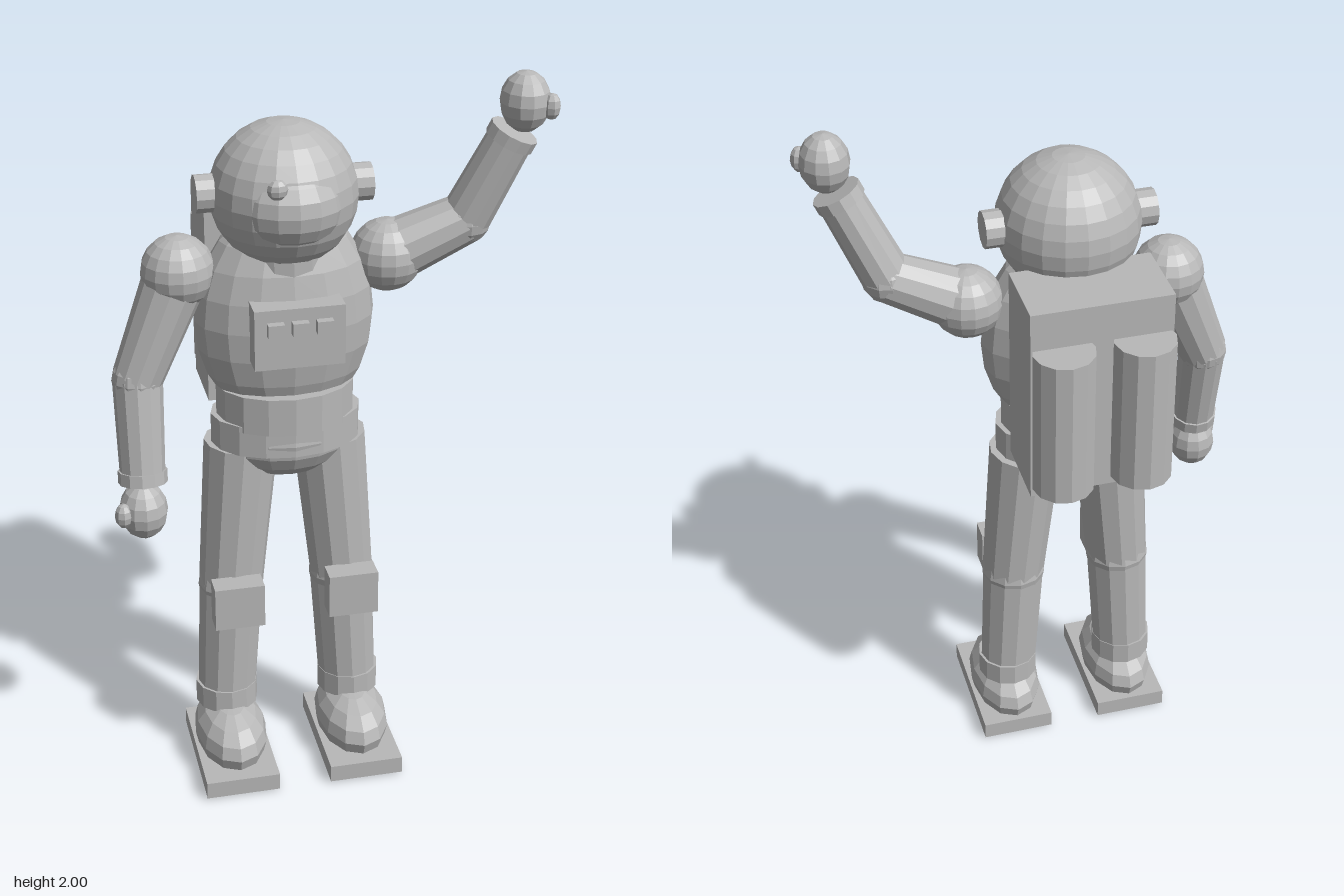
import * as THREE from 'three';

const suit = new THREE.MeshStandardMaterial({ color: 0xb8b8b8, flatShading: true });
suit.name = 'suit grey';

export function createModel() {
  const model = new THREE.Group();
  model.name = 'astronaut';
  const CX = -0.105, CZ = 0.083; // body axis

  const add = (name, geo, x, y, z, parent = model) => {
    const m = new THREE.Mesh(geo, suit);
    m.name = name;
    m.position.set(x, y, z);
    parent.add(m);
    return m;
  };
  const box = (name, x0, x1, y0, y1, z0, z1, parent) =>
    add(name, new THREE.BoxGeometry(x1 - x0, y1 - y0, z1 - z0),
      (x0 + x1) / 2, (y0 + y1) / 2, (z0 + z1) / 2, parent);
  const ball = (name, [x, y, z], [rx, ry, rz], parent, ws = 12, hs = 8) =>
    add(name, new THREE.SphereGeometry(1, ws, hs).scale(rx, ry, rz), x, y, z, parent);
  // tapered cylinder from point a to point b
  const limb = (name, a, b, ra, rb, parent, sides = 12) => {
    const A = new THREE.Vector3(...a), B = new THREE.Vector3(...b);
    const dir = B.clone().sub(A), mid = A.clone().add(B).multiplyScalar(0.5);
    const m = add(name, new THREE.CylinderGeometry(rb, ra, dir.length(), sides), mid.x, mid.y, mid.z, parent);
    m.quaternion.setFromUnitVectors(new THREE.Vector3(0, 1, 0), dir.normalize());
    return m;
  };
  const ring = (name, rx, rz, y0, y1) =>
    add(name, new THREE.CylinderGeometry(1, 1, y1 - y0, 16).scale(rx, 1, rz), CX, (y0 + y1) / 2, CZ);

  // Helmet with visor, lamp and ear pieces
  const head = new THREE.Group();
  head.name = 'head';
  model.add(head);
  ball('helmet', [CX, 1.7, 0.087], [0.193, 0.194, 0.193], head, 20, 14);
  ball('visor', [CX, 1.7, 0.165], [0.145, 0.12, 0.132], head, 16, 10);
  ball('visorLamp', [-0.16, 1.778, 0.28], [0.027, 0.027, 0.02], head, 8, 6);
  for (const s of [-1, 1])
    limb('earPiece', [CX + s * 0.15, 1.71, 0.08], [CX + s * 0.231, 1.71, 0.08], 0.05, 0.05, head);
  limb('neck', [CX, 1.5, CZ], [CX, 1.62, CZ], 0.13, 0.13, head, 16);

  // Torso, waist, belt and hips
  ball('torso', [CX, 1.36, CZ], [0.241, 0.31, 0.15], model, 16, 12);
  ring('waist', 0.188, 0.148, 1.07, 1.175);
  ring('belt', 0.204, 0.138, 1.0, 1.087);
  ball('hips', [CX, 1.03, CZ], [0.185, 0.135, 0.14], model, 16, 10);

  // Chest control panel
  box('chestPanel', -0.222, 0.016, 1.29, 1.455, 0.18, 0.275);
  for (let i = 0; i < 3; i++) {
    const x = -0.19 + i * 0.064;
    box('panelButton', x, x + 0.043, 1.387, 1.422, 0.27, 0.297);
  }

  // Life support backpack with two tanks
  box('backpack', -0.295, 0.085, 1.07, 1.637, -0.236, -0.026);
  for (const s of [-1, 1])
    limb('airTank', [CX + s * 0.107, 1.108, -0.255], [CX + s * 0.107, 1.53, -0.255], 0.083, 0.083, model, 12);

  // Legs, mirrored about the body axis
  for (const s of [-1, 1]) {
    const leg = new THREE.Group();
    leg.name = s < 0 ? 'rightLeg' : 'leftLeg';
    model.add(leg);
    const p = (d, y, z) => [CX + s * d, y, z];
    limb('thigh', p(0.121, 0.995, 0.075), p(0.158, 0.56, 0.083), 0.102, 0.09, leg);
    ball('knee', p(0.158, 0.56, 0.083), [0.093, 0.093, 0.093], leg);
    limb('shin', p(0.158, 0.56, 0.083), p(0.177, 0.2, 0.083), 0.09, 0.083, leg);
    limb('ankleCuff', p(0.178, 0.17, 0.083), p(0.178, 0.237, 0.083), 0.088, 0.088, leg);
    const k = CX + s * 0.16;
    box('kneePad', k - 0.069, k + 0.069, 0.493, 0.62, 0.168, 0.233, leg);
    ball('boot', p(0.178, 0.093, 0.133), [0.102, 0.093, 0.174], leg);
    const f = CX + s * 0.178;
    box('sole', f - 0.104, f + 0.104, 0.005, 0.055, -0.042, 0.333, leg);
  }

  // Arms: one hanging, one raised and waving
  const arms = [
    { name: 'rightArm', shoulder: [-0.384, 1.505, 0.08], elbow: [-0.503, 1.22, 0.1],
      wrist: [-0.507, 0.94, 0.155], hand: [-0.51, 0.86, 0.163], thumb: [-0.568, 0.868, 0.2] },
    { name: 'leftArm', shoulder: [0.172, 1.503, 0.08], elbow: [0.375, 1.595, 0.105],
      wrist: [0.487, 1.84, 0.147], hand: [0.508, 1.92, 0.158], thumb: [0.564, 1.915, 0.2] },
  ];
  for (const a of arms) {
    const arm = new THREE.Group();
    arm.name = a.name;
    model.add(arm);
    ball('shoulder', a.shoulder, [0.098, 0.098, 0.098], arm, 16, 10);
    limb('upperArm', a.shoulder, a.elbow, 0.085, 0.068, arm);
    ball('elbow', a.elbow, [0.069, 0.069, 0.069], arm);
    limb('forearm', a.elbow, a.wrist, 0.067, 0.06, arm);
    const w = new THREE.Vector3(...a.wrist);
    const back = w.clone().lerp(new THREE.Vector3(...a.elbow), 0.12);
    limb('wristCuff', back.toArray(), a.wrist, 0.066, 0.066, arm);
    ball('glove', a.hand, [0.066, 0.08, 0.071], arm);
    ball('thumb', a.thumb, [0.024, 0.035, 0.026], arm, 8, 6);
  }
  return model;
}
